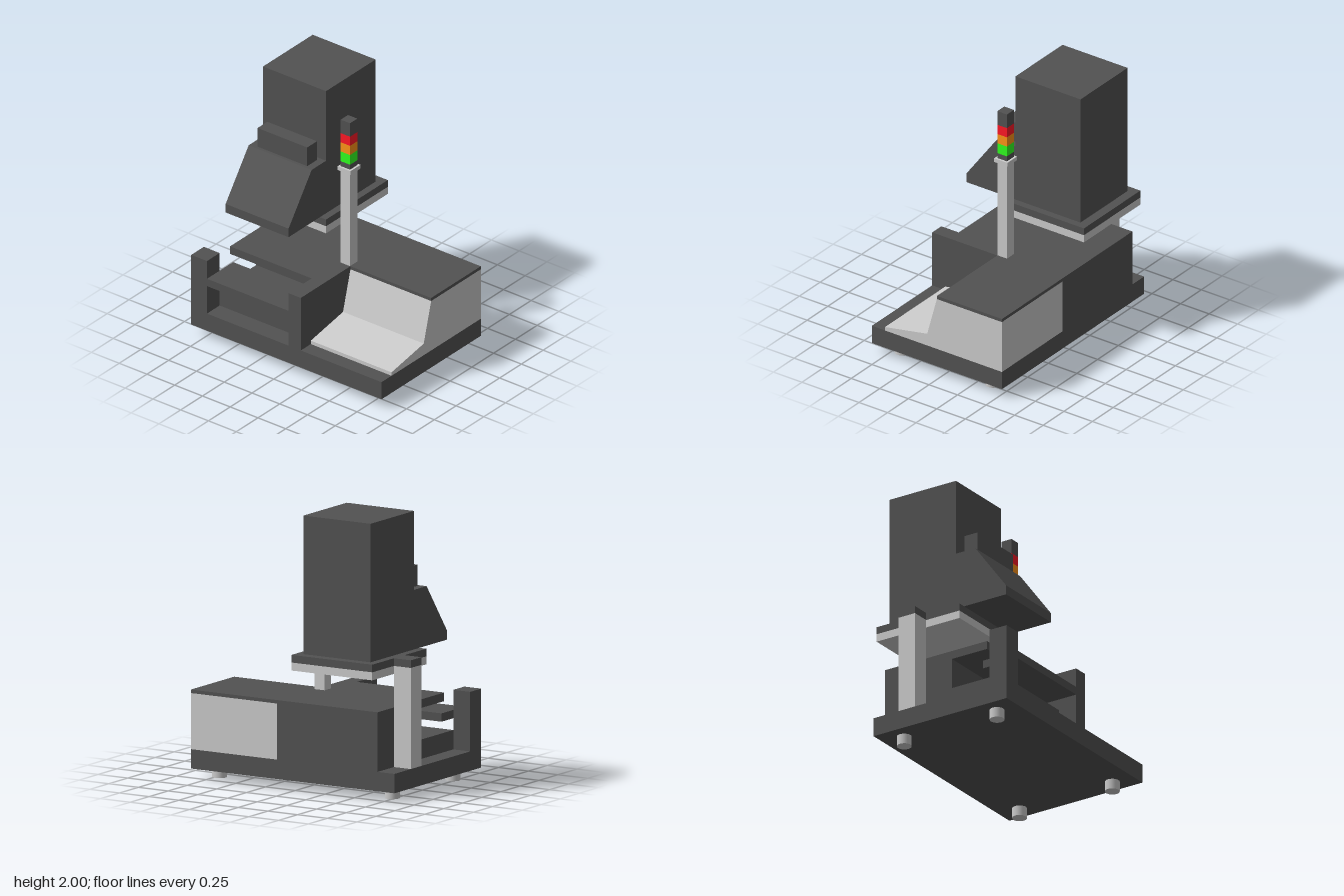
import * as THREE from 'three';

const material = (color) => new THREE.MeshStandardMaterial({ color, flatShading: true });

export function createModel() {
  const model = new THREE.Group();
  const dark = material(0x525252);
  const grey = material(0xcccccc);

  const add = (name, geometry, mat) => {
    const mesh = new THREE.Mesh(geometry, mat);
    mesh.name = name;
    model.add(mesh);
    return mesh;
  };

  // Box given by its limits on each axis
  const box = (name, mat, [x0, x1], [y0, y1], [z0, z1]) => {
    const mesh = add(name, new THREE.BoxGeometry(x1 - x0, y1 - y0, z1 - z0), mat);
    mesh.position.set((x0 + x1) / 2, (y0 + y1) / 2, (z0 + z1) / 2);
  };

  // Side profile of [z, y] points, extruded across x
  const profile = (name, mat, [x0, x1], points) => {
    const shape = new THREE.Shape(points.map(([z, y]) => new THREE.Vector2(-z, y)));
    const geometry = new THREE.ExtrudeGeometry(shape, { depth: x1 - x0, bevelEnabled: false });
    geometry.rotateY(Math.PI / 2).translate(x0, 0, 0);
    add(name, geometry, mat);
  };

  // Feet and base slab
  for (const x of [-0.727, 0.727]) {
    for (const z of [-0.36, 0.435]) {
      const foot = add('foot', new THREE.CylinderGeometry(0.053, 0.053, 0.08, 24),
        new THREE.MeshStandardMaterial({ color: 0xcccccc }));
      foot.position.set(x, 0.04, z);
    }
  }
  box('baseSlab', dark, [-0.857, 0.857], [0.075, 0.215], [-0.535, 0.605]);

  // Main cabinet with the overhanging deck and the open front bay
  box('cabinet', dark, [-0.715, 0.13], [0.215, 0.645], [-0.535, 0.04]);
  box('deck', dark, [-0.715, 0.02], [0.583, 0.645], [0.04, 0.34]);
  box('bayStep', dark, [-0.715, 0.02], [0.215, 0.355], [0.04, 0.46]);
  box('bayCrossbar', dark, [-0.715, 0.02], [0.44, 0.5], [0.305, 0.605]);
  box('bayWall', dark, [0.02, 0.13], [0.215, 0.645], [0.04, 0.605]);
  box('cornerPost', dark, [-0.857, -0.715], [0.215, 0.645], [0.46, 0.605]);

  // Sloped side housing and its lid
  profile('sideHousing', grey, [0.13, 0.857], [
    [-0.535, 0.215], [-0.535, 0.62], [0.035, 0.62], [0.12, 0.31], [0.49, 0.243], [0.49, 0.215],
  ]);
  box('sideHousingLid', dark, [0.13, 0.857], [0.62, 0.645], [-0.535, 0.035]);

  // Support column carrying the raised plate
  box('supportColumn', grey, [-0.857, -0.715], [0.215, 0.945], [-0.32, -0.18]);
  box('supportColumnCap', dark, [-0.857, -0.715], [0.945, 1.0], [-0.32, -0.18]);
  box('plateUnderside', grey, [-0.715, -0.035], [0.887, 0.945], [-0.605, 0.105]);
  box('plateTop', dark, [-0.715, -0.035], [0.945, 1.0], [-0.605, 0.105]);

  // Tower, hood and the box on the hood
  box('tower', dark, [-0.657, -0.09], [1.0, 2.0], [-0.535, 0.035]);
  profile('hood', dark, [-0.657, -0.09], [
    [0.035, 1.0], [0.035, 1.43], [0.2, 1.43], [0.465, 1.07], [0.465, 1.0],
  ]);
  box('hoodBox', dark, [-0.595, -0.148], [1.43, 1.583], [0.065, 0.177]);

  // Signal light: pole, collar and stacked segments
  const lightX = [0.043, 0.127];
  const lightZ = [-0.048, 0.036];
  box('signalPole', grey, lightX, [0.645, 1.41], lightZ);
  box('signalCollar', grey, [0.027, 0.143], [1.405, 1.435], [-0.064, 0.052]);
  const segments = [
    ['signalBase', dark, 1.475],
    ['greenLight', material(0x30ff20), 1.555],
    ['orangeLight', material(0xff9418), 1.63],
    ['redLight', material(0xff1826), 1.705],
    ['signalCap', dark, 1.815],
  ];
  let bottom = 1.435;
  for (const [name, mat, top] of segments) {
    box(name, mat, lightX, [bottom, top], lightZ);
    bottom = top;
  }

  return model;
}
